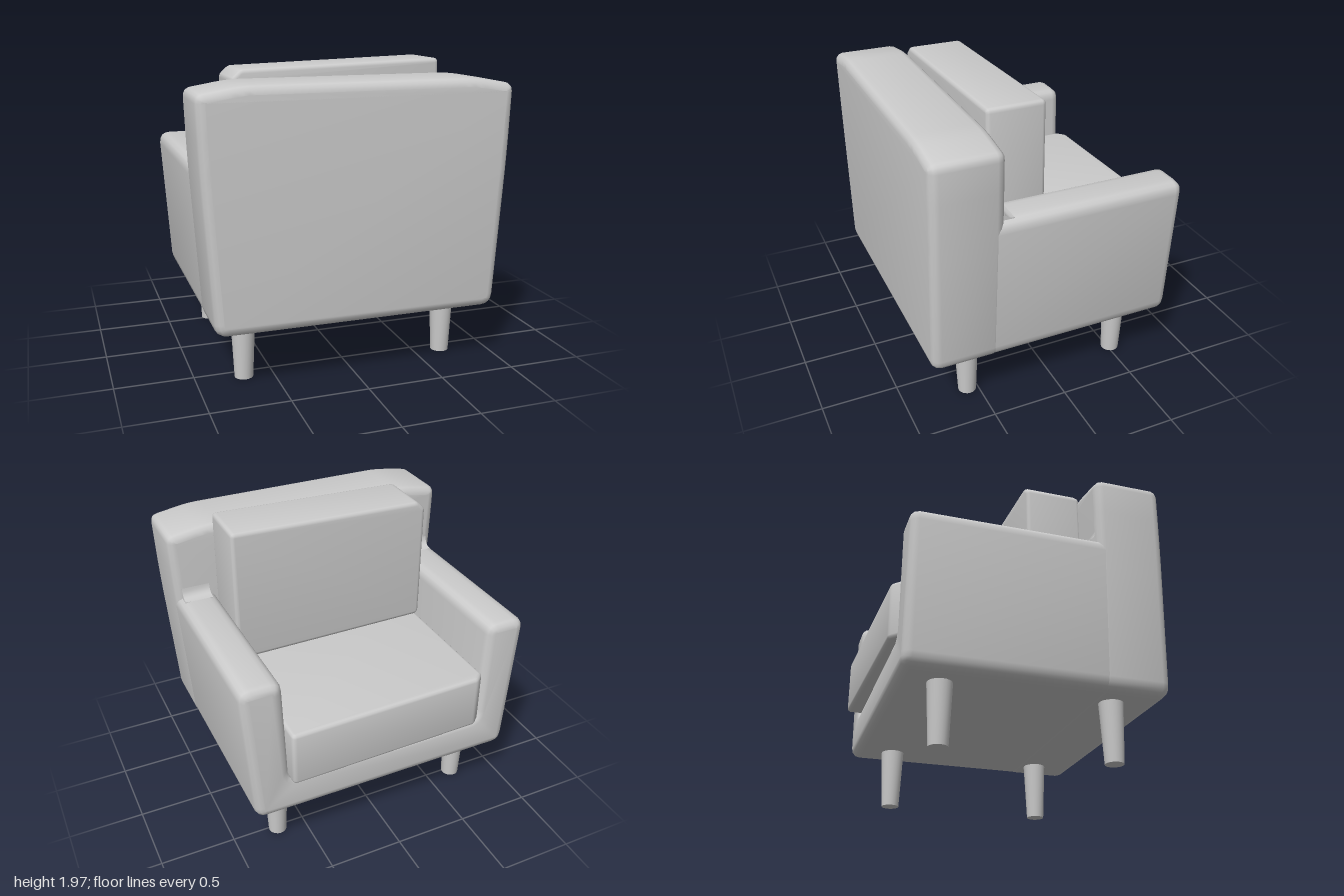
import * as THREE from 'three';
import { toCreasedNormals } from 'three/addons/utils/BufferGeometryUtils.js';

const material = new THREE.MeshStandardMaterial({ color: 0xcccccc });

// Closed outline from corners [x, y, radius], each corner rounded off
function roundedShape(corners) {
  const shape = new THREE.Shape();
  corners.forEach(([x, y, r], i) => {
    const p = new THREE.Vector2(x, y);
    const toward = (c) => {
      const d = new THREE.Vector2(c[0], c[1]).sub(p);
      return d.setLength(Math.min(r, d.length() * 0.49)).add(p);
    };
    const a = toward(corners.at(i - 1));
    const b = toward(corners[(i + 1) % corners.length]);
    if (i === 0) shape.moveTo(a.x, a.y);
    else shape.lineTo(a.x, a.y);
    shape.quadraticCurveTo(x, y, b.x, b.y);
  });
  shape.closePath();
  return shape;
}

// Padded slab: outline extruded from z0 to z1 with soft edges inside the outline
function paddedSlab(corners, z0, z1, bevel) {
  return new THREE.ExtrudeGeometry(roundedShape(corners), {
    depth: z1 - z0 - 2 * bevel,
    bevelEnabled: true,
    bevelThickness: bevel,
    bevelSize: bevel,
    bevelOffset: -bevel,
    bevelSegments: 3,
    curveSegments: 4,
  }).translate(0, 0, z0 + bevel);
}

// Complete a half outline (x > 0, bottom to top) by mirroring it
const mirrored = (half) => [...half, ...half.map(([x, y, r]) => [-x, y, r]).reverse()];

// Cushion: slightly crooked outline in x and y, thickness along z
function cushion(length, thickness, skew) {
  const g = paddedSlab([
    [-0.69, 0, 0.04],
    [0.705, 0, 0.04],
    [0.695, length + 0.02, 0.03],
    [-0.635, length - 0.02, 0.02],
    [-0.695, length - 0.075, 0.02],
  ], 0, thickness, 0.025);
  const pos = g.attributes.position;
  for (let i = 0; i < pos.count; i++) pos.setZ(i, pos.getZ(i) + skew * pos.getX(i));
  return g;
}

export function createModel() {
  const group = new THREE.Group();
  const add = (name, geometry) => {
    const mesh = new THREE.Mesh(toCreasedNormals(geometry, 0.75), material);
    mesh.name = name;
    group.add(mesh);
    return mesh;
  };

  // Backrest, flaring toward the top
  add('backrest', paddedSlab(mirrored([
    [0.92, 0.39, 0.08],
    [0.985, 1.39, 0.2],
    [1.0, 1.835, 0.05],
    [0.73, 1.88, 0.08],
  ]), 0.415, 0.87, 0.055));

  // Base and arms as one U-shaped body running into the backrest
  add('armsAndBase', paddedSlab(mirrored([
    [0.918, 0.392, 0.08],
    [0.983, 1.39, 0.08],
    [0.71, 1.39, 0.07],
    [0.685, 0.66, 0.06],
  ]), -0.79, 0.75, 0.055));

  // Soft transition from arm tops to backrest
  for (const side of [1, -1]) {
    const s = new THREE.Shape();
    s.moveTo(0.44, 1.37);
    s.lineTo(0.44, 1.46);
    s.lineTo(0.415, 1.46);
    s.quadraticCurveTo(0.412, 1.391, 0.345, 1.39);
    s.lineTo(0.345, 1.37);
    s.closePath();
    const g = new THREE.ExtrudeGeometry(s, { depth: 0.19, bevelEnabled: false, curveSegments: 5 });
    g.rotateY(-Math.PI / 2).translate(0.095 + side * 0.845, 0, 0);
    add(side > 0 ? 'leftArmFillet' : 'rightArmFillet', g);
  }

  // Loose cushions
  add('seatCushion', cushion(1.27, 0.38, 0.008).rotateX(-Math.PI / 2).translate(0, 0.665, 0.42));
  add('backCushion', cushion(0.9, 0.38, -0.013).translate(0, 1.05, 0.04));

  // Tapered legs
  for (const x of [-0.69, 0.69]) {
    for (const z of [-0.52, 0.57]) {
      const leg = add(z < 0 ? 'seatLeg' : 'backrestLeg', new THREE.CylinderGeometry(0.08, 0.06, 0.42, 20));
      leg.position.set(x, 0.21, z);
    }
  }
  return group;
}
